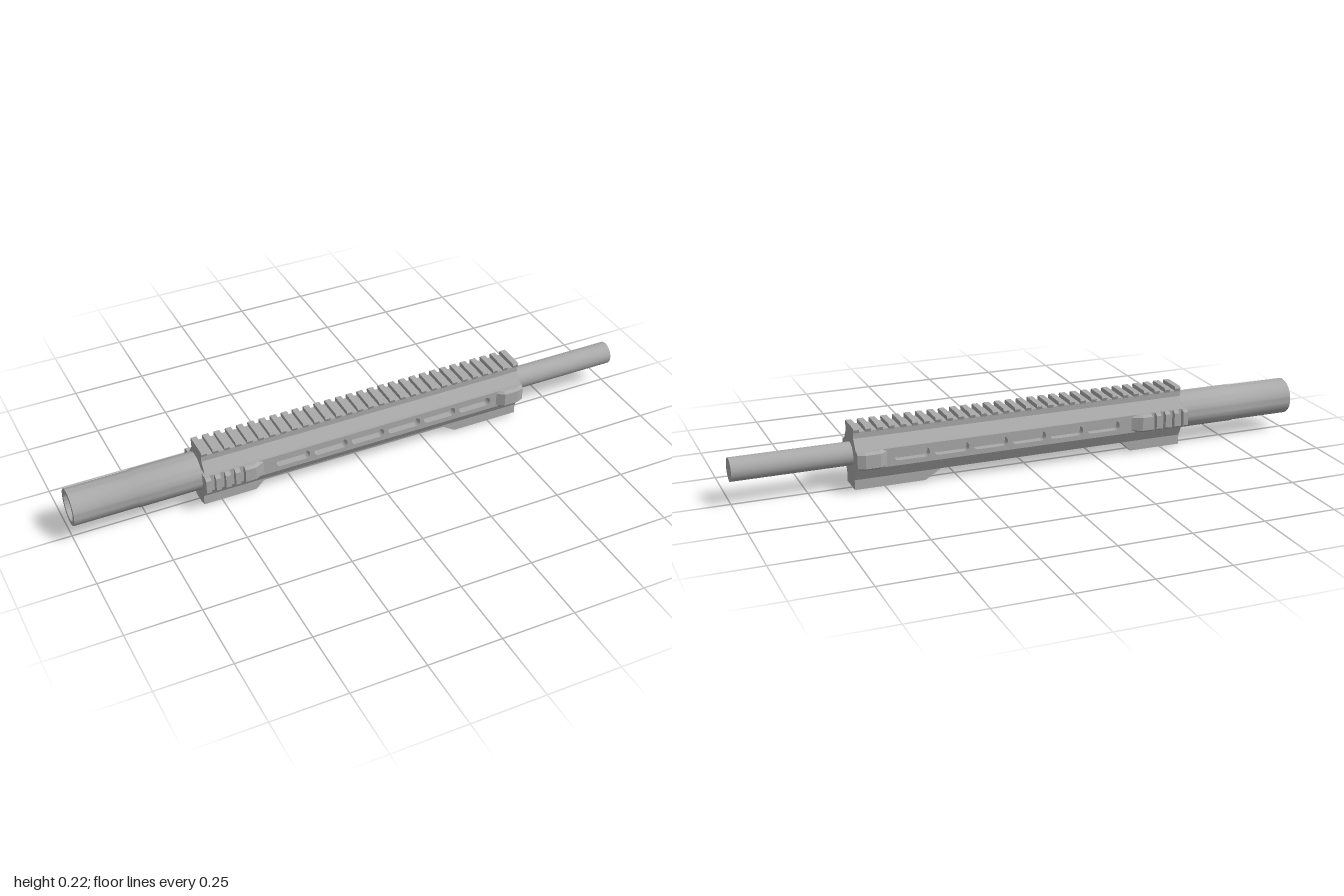
import * as THREE from 'three';
import { toCreasedNormals } from 'three/addons/utils/BufferGeometryUtils.js';

const AXIS_Y = 0.118;

export function createModel() {
  const root = new THREE.Group();
  root.name = 'railedTube';
  const metal = new THREE.MeshStandardMaterial({ color: 0xaaaaaa });
  metal.name = 'grey metal';

  function add(geometry, name, parent = root) {
    const mesh = new THREE.Mesh(geometry, metal);
    mesh.name = name;
    parent.add(mesh);
    return mesh;
  }
  function group(name) {
    const g = new THREE.Group();
    g.name = name;
    root.add(g);
    return g;
  }

  // Extrudes a section, given as its [z, y] right half from top to bottom, from x0 to x1
  function alongX(half, x0, x1) {
    const other = half.map(([z, y]) => [-z, y]).reverse();
    const shape = new THREE.Shape([...half, ...other].map(([z, y]) => new THREE.Vector2(z, y)));
    const geo = new THREE.ExtrudeGeometry(shape, { depth: x1 - x0, bevelEnabled: false });
    geo.rotateY(Math.PI / 2);
    geo.translate(x0, 0, 0);
    return geo;
  }

  // Pulls the outer side faces inward at one x end
  function taper(geo, xEnd, amount) {
    const p = geo.attributes.position;
    for (let i = 0; i < p.count; i++) {
      const z = p.getZ(i);
      if (Math.abs(p.getX(i) - xEnd) < 1e-4 && Math.abs(z) > 0.07) p.setZ(i, z - Math.sign(z) * amount);
    }
    geo.computeVertexNormals();
    return geo;
  }

  const X0 = -0.565, X1 = 0.605;

  // Main body, with recessed sides behind the slotted panels
  add(alongX([[0.044, 0.203], [0.044, 0.182], [0.069, 0.147], [0.055, 0.147],
    [0.055, 0.085], [0.068, 0.085], [0.044, 0.04]], X0, X1), 'body');

  // Side panels with six rounded slots each
  const panel = new THREE.Shape([[X0, 0.085], [X1, 0.085], [X1, 0.147], [X0, 0.147]]
    .map(([x, y]) => new THREE.Vector2(x, y)));
  for (let i = 0; i < 6; i++) {
    const a = -0.32 + i * 0.136, b = a + 0.12, r = 0.016, cy = 0.118;
    const hole = new THREE.Path();
    hole.moveTo(a + r, cy - r);
    hole.lineTo(b - r, cy - r);
    hole.absarc(b - r, cy, r, -Math.PI / 2, Math.PI / 2, false);
    hole.lineTo(a + r, cy + r);
    hole.absarc(a + r, cy, r, Math.PI / 2, Math.PI * 1.5, false);
    panel.holes.push(hole);
  }
  for (const z of [0.05, -0.08]) {
    const geo = new THREE.ExtrudeGeometry(panel, { depth: 0.03, bevelEnabled: false, curveSegments: 8 });
    add(geo, z > 0 ? 'frontPanel' : 'backPanel').position.z = z;
  }

  // Cross ribs along the top
  const top = group('topRail');
  const count = 30, pitch = (X1 - X0 - 0.02) / (count - 1);
  for (let i = 0; i < count; i++) {
    const x = X0 + i * pitch;
    add(alongX([[0.044, 0.218], [0.048, 0.211], [0.044, 0.2]], x, x + 0.02), 'topRib', top);
  }

  // Raised side grips: four ribs and a ramp at one end, a wedge at the other
  const side = [[0.088, 0.147], [0.098, 0.139], [0.098, 0.093], [0.088, 0.085]];
  const grips = group('sideGrips');
  for (let i = 0; i < 4; i++) {
    const x = -0.572 + i * 0.034;
    add(alongX(side, x, x + 0.018), 'sideRib', grips);
  }
  add(alongX(side, -0.436, -0.4), 'sideStop', grips);
  add(taper(alongX(side, -0.4, -0.365), -0.365, 0.018), 'sideStopRamp', grips);
  add(taper(alongX(side, 0.505, 0.53), 0.505, 0.018), 'endWedgeRamp', grips);
  add(alongX(side, 0.53, 0.58), 'endWedge', grips);
  add(taper(alongX(side, 0.58, X1), X1, 0.01), 'endWedgeTip', grips);

  // Lower blocks with sloped inner ends
  const blocks = {
    ribbedFoot: [[X0, 0.05], [X0, 0.006], [-0.38, 0.006], [-0.345, 0.04], [-0.345, 0.05]],
    plainFoot: [[X1, 0.05], [0.31, 0.05], [0.31, 0.04], [0.365, 0.006], [X1, 0.006]],
  };
  for (const [name, pts] of Object.entries(blocks)) {
    const shape = new THREE.Shape(pts.map(([x, y]) => new THREE.Vector2(x, y)));
    const geo = new THREE.ExtrudeGeometry(shape, { depth: 0.088, bevelEnabled: false });
    add(geo, name).position.z = -0.044;
  }
  const pads = group('footRibs');
  for (let i = 0; i < 6; i++) {
    const x = X0 + i * 0.032;
    add(alongX([[0.027, 0.01], [0.027, 0]], x, x + 0.019), 'footRib', pads);
  }

  // Inner tube, showing at the +x end
  const tube = new THREE.CylinderGeometry(0.039, 0.039, 1.585, 40);
  tube.rotateZ(Math.PI / 2);
  add(tube, 'innerTube').position.set(0.2075, AXIS_Y, 0);

  // Wide hollow sleeve at the -x end
  const profile = [[0, 0.57], [0.064, 0.57], [0.064, 0.78], [0.062, 0.785], [0.062, 1],
    [0.046, 1], [0.046, 0.8], [0, 0.8]].map(([r, y]) => new THREE.Vector2(r, y));
  const sleeve = new THREE.LatheGeometry(profile, 48);
  sleeve.rotateZ(Math.PI / 2);
  add(toCreasedNormals(sleeve, 0.5), 'sleeve').position.y = AXIS_Y;

  return root;
}
